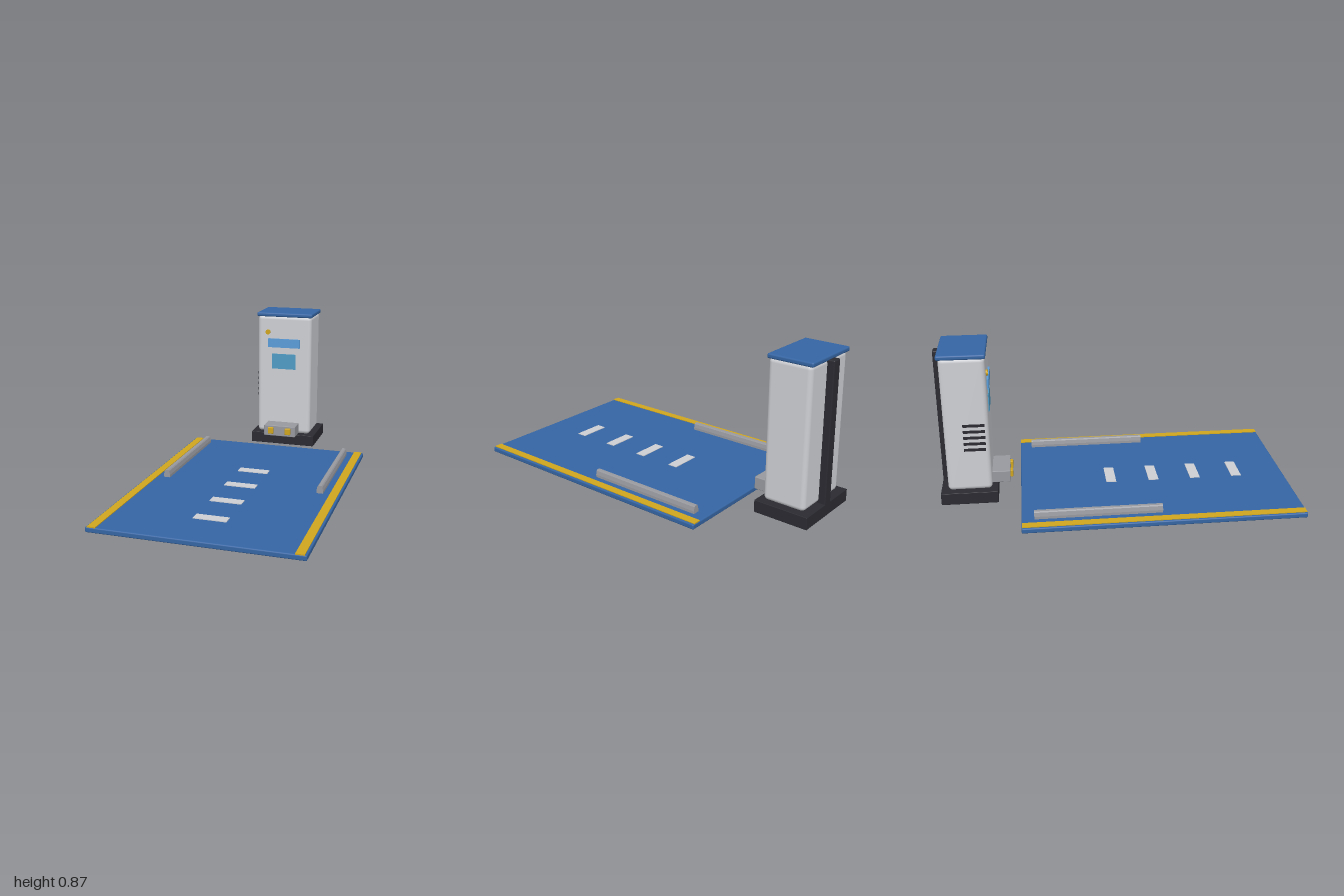
import * as THREE from 'three';
import { RoundedBoxGeometry } from 'three/addons/geometries/RoundedBoxGeometry.js';

const mat = (name, color) => {
  const m = new THREE.MeshStandardMaterial({ color });
  m.name = name;
  return m;
};

export function createModel() {
  const root = new THREE.Group();
  root.name = 'chargingStation';

  const blue = mat('blue paint', 0x3565a3);
  const yellow = mat('yellow', 0xcfa51e);
  const shell = mat('light grey shell', 0xcdcfd3);
  const metal = mat('mid grey metal', 0x97999f);
  const dark = mat('dark grey', 0x2a2a31);
  const displayBlue = mat('display blue', 0x5a9cd8);
  const screenBlue = mat('screen teal', 0x4f9bc4);
  const marking = mat('pale marking', 0xcdced2);

  const add = (parent, name, geometry, material, x = 0, y = 0, z = 0) => {
    const mesh = new THREE.Mesh(geometry, material);
    mesh.name = name;
    mesh.position.set(x, y, z);
    parent.add(mesh);
    return mesh;
  };

  // Box given by its limits, with optionally rounded edges
  const box = (parent, name, material, [x0, x1], [y0, y1], [z0, z1], r = 0) => {
    const size = [x1 - x0, y1 - y0, z1 - z0];
    const g = r ? new RoundedBoxGeometry(...size, 3, r) : new THREE.BoxGeometry(...size);
    return add(parent, name, g, material, (x0 + x1) / 2, (y0 + y1) / 2, (z0 + z1) / 2);
  };

  // Parking bay
  const bay = new THREE.Group();
  bay.name = 'parkingBay';
  root.add(bay);
  box(bay, 'platform', blue, [-0.565, 0.565], [0, 0.029], [-0.555, 1], 0.007);
  [-0.03, 0.22, 0.467, 0.715].forEach((z) =>
    box(bay, 'centreDash', marking, [-0.09, 0.09], [0.027, 0.033], [z - 0.029, z + 0.029]));

  // Wheel guide cross-section, narrowing towards the top
  const guide = new THREE.Shape([
    [-0.019, 0], [0.019, 0], [0.019, 0.015], [0.014, 0.037],
    [0.009, 0.043], [-0.009, 0.043], [-0.014, 0.037], [-0.019, 0.015],
  ].map(([x, y]) => new THREE.Vector2(x, y)));
  const guideGeometry = new THREE.ExtrudeGeometry(guide, { depth: 0.7, bevelEnabled: false });

  for (const s of [-1, 1]) {
    const x = s * 0.531;
    box(bay, 'edgeStripe', yellow, [x - 0.023, x + 0.023], [0.026, 0.033], [-0.553, 0.998]);
    add(bay, 'wheelGuide', guideGeometry, metal, s * 0.452, 0.029, -0.486);
  }

  // Charging tower
  const tower = new THREE.Group();
  tower.name = 'tower';
  root.add(tower);
  box(tower, 'base', dark, [-0.21, 0.21], [0, 0.07], [-1, -0.682], 0.003);
  box(tower, 'body', shell, [-0.177, 0.177], [0.07, 0.852], [-0.96, -0.713], 0.025);
  box(tower, 'lid', blue, [-0.183, 0.183], [0.845, 0.871], [-0.97, -0.708], 0.009);
  box(tower, 'backSpine', dark, [-0.029, 0.029], [0.03, 0.85], [-1, -0.95], 0.007);

  // Front panel details
  box(tower, 'display', displayBlue, [-0.106, 0.105], [0.646, 0.703], [-0.715, -0.703]);
  box(tower, 'screen', screenBlue, [-0.079, 0.078], [0.504, 0.603], [-0.715, -0.708]);
  const lamp = add(tower, 'statusLamp', new THREE.CylinderGeometry(0.016, 0.016, 0.014, 24),
    yellow, -0.108, 0.745, -0.709);
  lamp.rotation.x = Math.PI / 2;

  // Connector housing with two contacts
  box(tower, 'connectorHousing', metal, [-0.105, 0.104], [0.073, 0.143], [-0.72, -0.612], 0.004);
  for (const x of [-0.058, 0.056]) {
    box(tower, 'contact', yellow, [x - 0.018, x + 0.018], [0.089, 0.131], [-0.62, -0.597], 0.004);
  }

  // Ventilation slots on the right side
  for (let i = 0; i < 5; i++) {
    const y = 0.32 + i * 0.036;
    box(tower, 'ventSlot', dark, [-0.18, -0.172], [y - 0.008, y + 0.008], [-0.855, -0.735]);
  }

  return root;
}
